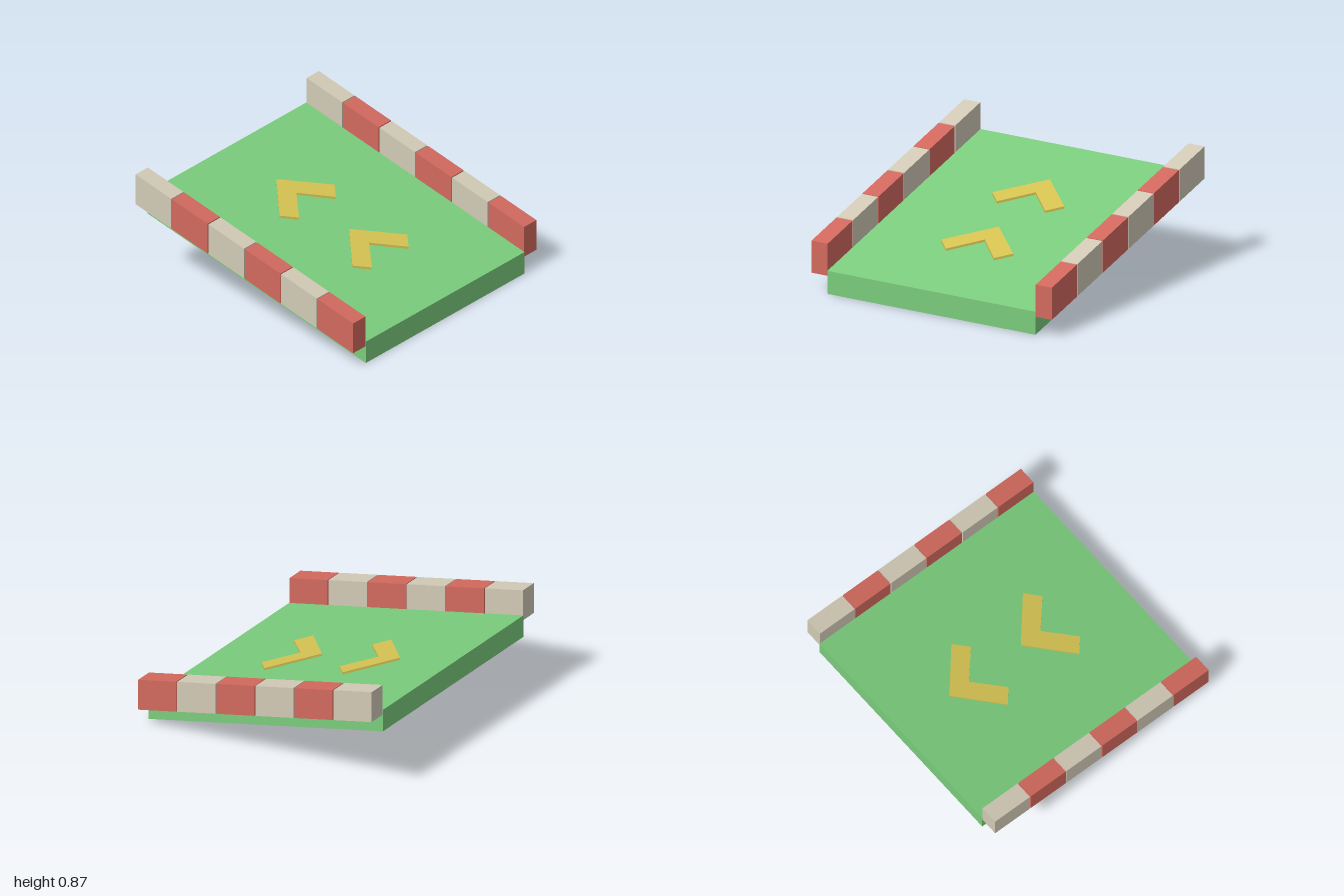
import * as THREE from 'three';

const SLOPE = 0.25;

// Shear a geometry so it climbs toward the back while its ends stay vertical
function shear(geometry) {
  const p = geometry.attributes.position;
  for (let i = 0; i < p.count; i++) p.setY(i, p.getY(i) + (1 - p.getZ(i)) * SLOPE);
  geometry.computeVertexNormals();
  return geometry;
}

function material(name, color) {
  const m = new THREE.MeshStandardMaterial({ color });
  m.name = name;
  return m;
}

export function createModel() {
  const green = material('green', 0x7acc7c);
  const red = material('red', 0xd2695e);
  const cream = material('cream', 0xd2cab6);
  const yellow = material('yellow', 0xd5c352);
  const model = new THREE.Group();
  model.name = 'ramp';

  const add = (name, geometry, mat, parent = model) => {
    const mesh = new THREE.Mesh(shear(geometry), mat);
    mesh.name = name;
    parent.add(mesh);
  };

  // Sloping deck
  add('deck', new THREE.BoxGeometry(1.732, 0.17, 2).translate(0, 0.085, 0), green);

  // Curbs of alternating blocks with narrow gaps
  for (const side of [1, -1]) {
    const curb = new THREE.Group();
    curb.name = side > 0 ? 'leftCurb' : 'rightCurb';
    model.add(curb);
    for (let i = 0; i < 6; i++) {
      const block = new THREE.BoxGeometry(0.134, 0.237, 0.326);
      block.translate(side * 0.933, 0.2495, 1 - (i + 0.5) / 3);
      add('curbBlock', block, i % 2 ? cream : red, curb);
    }
  }

  // Raised chevrons pointing up the slope
  const shape = new THREE.Shape([
    [0, 0.547], [-0.3, 0.265], [-0.2, 0.17], [0, 0.364], [0.2, 0.17], [0.3, 0.265],
  ].map(([x, y]) => new THREE.Vector2(x, y)));
  for (const z of [0, 0.667]) {
    const chevron = new THREE.ExtrudeGeometry(shape, { depth: 0.018, bevelEnabled: false });
    chevron.rotateX(-Math.PI / 2).translate(0, 0.169, z);
    add('chevron', chevron, yellow);
  }

  return model;
}
